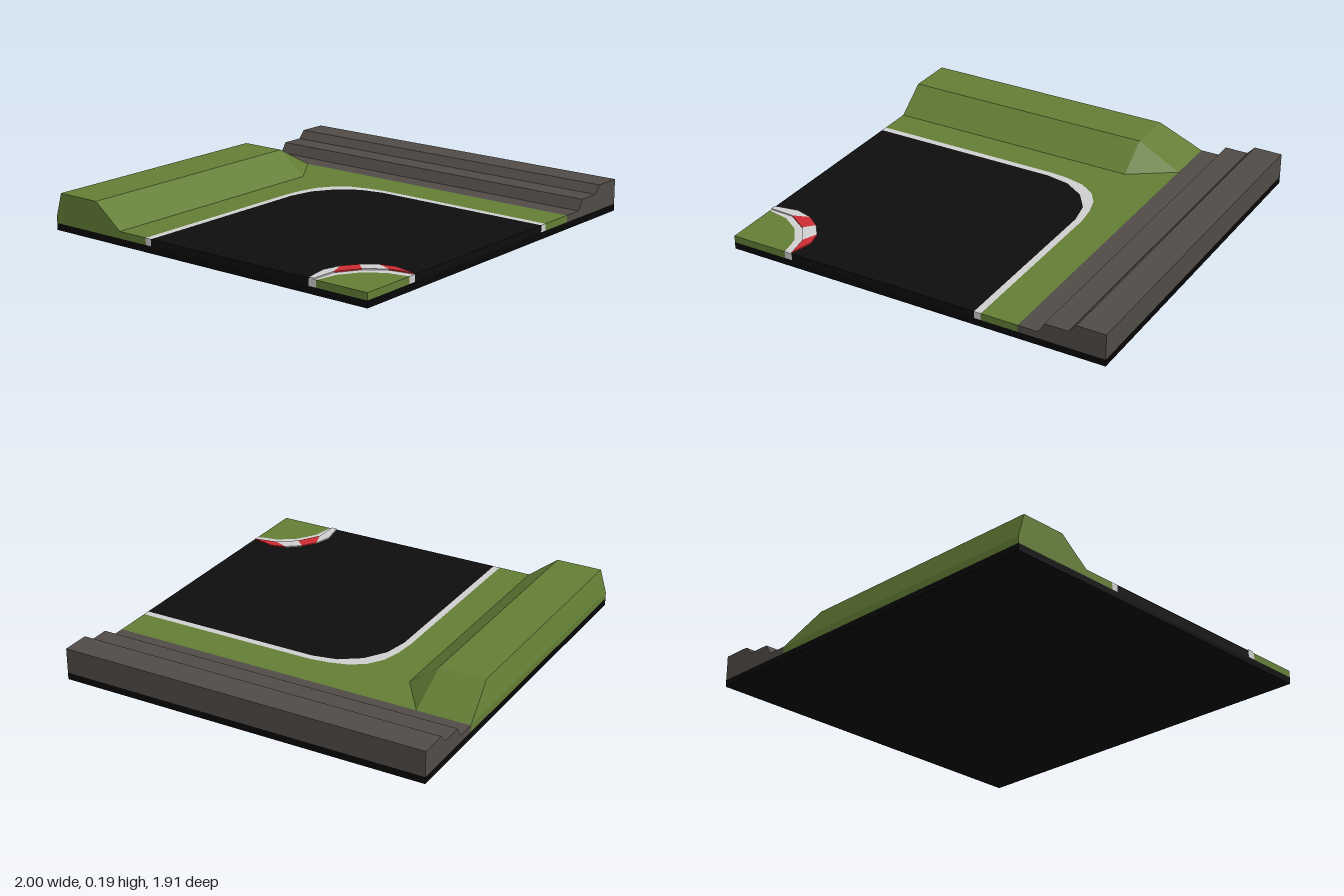
import * as THREE from 'three';

const mat = (name, color) => {
  const m = new THREE.MeshStandardMaterial({ color });
  m.name = name;
  return m;
};

export function createModel() {
  const model = new THREE.Group();
  const black = mat('base black', 0x060606);
  const asphalt = mat('asphalt', 0x0d0d0d);
  const grass = mat('grass green', 0x627d35);
  const stone = mat('stone grey', 0x504b46);
  const white = mat('kerb white', 0xcecece);
  const red = mat('kerb red', 0xce2c34);

  const X = 1, Z = 0.955, Y0 = 0.035, Y1 = 0.07;

  const add = (name, geometry, material) => {
    const mesh = new THREE.Mesh(geometry, material);
    mesh.name = name;
    model.add(mesh);
    return mesh;
  };

  // Flat slab from an outline of [x, z] points
  const slab = (name, points, y0, y1, material) => {
    const shape = new THREE.Shape(points.map(([x, z]) => new THREE.Vector2(x, -z)));
    const g = new THREE.ExtrudeGeometry(shape, { depth: y1 - y0, bevelEnabled: false });
    g.rotateX(-Math.PI / 2).translate(0, y0, 0);
    return add(name, g, material);
  };

  // Quarter ellipse of four straight steps, from the back point to the right point
  const quarter = (cx, cz, rx, rz) => Array.from({ length: 5 }, (_, i) => {
    const a = (i * Math.PI) / 8;
    return [cx + rx * Math.sin(a), cz - rz * Math.cos(a)];
  });

  // Base plate
  const base = new THREE.BoxGeometry(2 * X, Y0, 2 * Z);
  base.translate(0, Y0 / 2, 0);
  add('basePlate', base, black);

  // Outlines of the bend
  const roadEdge = [[-X, -0.32], ...quarter(0, 0, 0.335, 0.32), [0.335, Z]];
  const kerbEdge = [[-X, -0.355], [0, -0.355], [0.1, -0.346], [0.2, -0.322], [0.28, -0.268],
    [0.33, -0.195], [0.357, -0.1], [0.37, 0], [0.37, Z]];
  const lawnEdge = quarter(-X, Z, 0.295, 0.282);
  const innerEdge = quarter(-X, Z, 0.335, 0.325);

  // Road, kerbs and grass
  slab('road', [...roadEdge, ...[...innerEdge].reverse()], Y0, Y1, asphalt);
  slab('outerKerb', [...kerbEdge, ...[...roadEdge].reverse()], Y0, Y1, white);
  slab('outerGrass', [...kerbEdge, [0.56, Z], [0.56, -Z], [-X, -Z]], Y0, Y1, grass);
  slab('innerKerb', [...innerEdge, ...[...lawnEdge].reverse()], Y0, Y1, white);
  slab('innerGrass', [...lawnEdge, [-X, Z]], Y0, Y1, grass);

  // Raised striped kerb on the inside of the bend
  const stripes = [
    [[-1, 0.632], [-0.875, 0.61], [-0.785, 0.635], [-0.87, 0.665], [-1, 0.66]],
    [[-0.87, 0.665], [-0.785, 0.635], [-0.715, 0.685], [-0.76, 0.735]],
    [[-0.715, 0.685], [-0.66, 0.755], [-0.69, 0.83], [-0.76, 0.735]],
    [[-0.66, 0.755], [-0.64, 0.83], [-0.667, 0.952], [-0.69, 0.83]],
  ];
  stripes.forEach((pts, i) => slab('kerbStripe' + (i + 1), pts, Y1, 0.076, i % 2 ? red : white));

  // Stepped stone wall along the left side
  const steps = [[0.56, Y0], [1, Y0], [1, 0.163], [0.853, 0.163], [0.815, 0.122],
    [0.695, 0.122], [0.663, Y1], [0.56, Y1]];
  const wall = new THREE.ExtrudeGeometry(
    new THREE.Shape(steps.map(([x, y]) => new THREE.Vector2(x, y))),
    { depth: 2 * Z, bevelEnabled: false });
  wall.translate(0, 0, -Z);
  add('stoneWall', wall, stone);

  // Grass bank: cross-sections of [z, y] from front foot to back foot
  const full = [[-0.525, Y1], [-0.68, 0.19], [-0.92, 0.19], [-Z, Y1]];
  const sections = [
    { x: -X, p: full },
    { x: 0.335, p: full },
    { x: 0.56, p: [[-0.64, Y1], [-0.68, Y1], [-0.92, Y1], [-Z, Y1]] },
  ];
  const pos = [];
  const point = (s, k) => [sections[s].x, sections[s].p[k][1], sections[s].p[k][0]];
  const quad = (a, b, c, d) => pos.push(...a, ...b, ...c, ...a, ...c, ...d);
  for (let s = 0; s < 2; s++) {
    for (let k = 0; k < 3; k++) {
      quad(point(s, k), point(s + 1, k), point(s + 1, k + 1), point(s, k + 1));
    }
  }
  quad(point(0, 0), point(0, 1), point(0, 2), point(0, 3));
  const bank = new THREE.BufferGeometry();
  bank.setAttribute('position', new THREE.Float32BufferAttribute(pos, 3));
  bank.computeVertexNormals();
  add('grassBank', bank, grass);

  return model;
}
